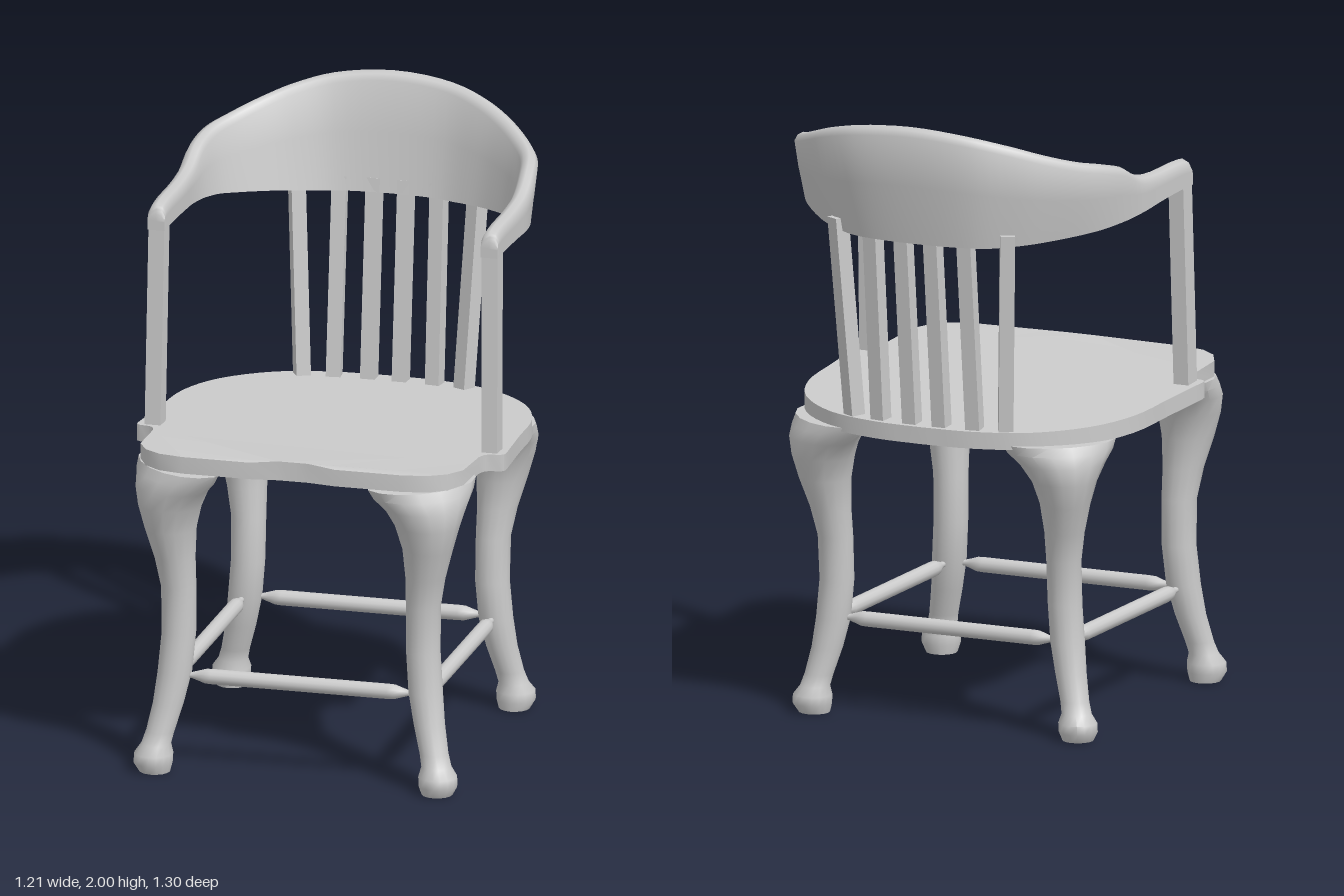
import * as THREE from 'three';
import { toCreasedNormals } from 'three/addons/utils/BufferGeometryUtils.js';

const material = new THREE.MeshStandardMaterial({ color: 0xcccccc });

function add(parent, name, geometry) {
  const mesh = new THREE.Mesh(geometry, material);
  mesh.name = name;
  parent.add(mesh);
  return mesh;
}

// Skin over closed rings of [x, y, z] points, capped at both ends
function loft(rings, crease) {
  const n = rings[0].length, last = rings.length - 1;
  const positions = rings.flat(2), index = [];
  for (let i = 0; i < last; i++) {
    for (let j = 0; j < n; j++) {
      const k = (j + 1) % n, a = i * n, b = a + n;
      index.push(a + j, a + k, b + k, a + j, b + k, b + j);
    }
  }
  for (const [r, end] of [[0, false], [last, true]]) {
    const centre = positions.length / 3;
    for (let c = 0; c < 3; c++) positions.push(rings[r].reduce((s, p) => s + p[c], 0) / n);
    for (let j = 0; j < n; j++) {
      const a = r * n + j, b = r * n + (j + 1) % n;
      index.push(centre, end ? a : b, end ? b : a);
    }
  }
  const g = new THREE.BufferGeometry();
  g.setAttribute('position', new THREE.Float32BufferAttribute(positions, 3));
  g.setIndex(index);
  return toCreasedNormals(g, crease);
}

// Upright bar leaning from one point to another, turned about y
function bar(from, to, width, depth, turn) {
  const g = new THREE.BoxGeometry(width, 1, depth).rotateY(turn);
  const p = g.attributes.position;
  for (let i = 0; i < p.count; i++) {
    const t = p.getY(i) + 0.5;
    p.setXYZ(i, p.getX(i) + THREE.MathUtils.lerp(from[0], to[0], t),
      THREE.MathUtils.lerp(from[1], to[1], t),
      p.getZ(i) + THREE.MathUtils.lerp(from[2], to[2], t));
  }
  g.computeVertexNormals();
  return g;
}

// Seat board: outline with eared sides, tipped slightly to the back
function seatGeometry() {
  const back = new THREE.CatmullRomCurve3([[0.605, 0.26], [0.59, 0.05], [0.573, -0.17], [0.5, -0.34],
    [0.35, -0.475], [0.17, -0.53], [0, -0.54]].map(([x, z]) => new THREE.Vector3(x, 0, z)));
  const half = [[0, 0.607], [0.05, 0.607], [0.14, 0.622], [0.36, 0.622], [0.44, 0.605], [0.495, 0.565],
    [0.53, 0.5], [0.535, 0.33], [0.545, 0.3], [0.56, 0.29], [0.59, 0.285], [0.602, 0.277],
    ...back.getPoints(24).map(v => [v.x, v.z])];
  const mirrored = half.slice(1, -1).reverse().map(([x, z]) => [-x, z]);
  const shape = new THREE.Shape([...half, ...mirrored].map(([x, z]) => new THREE.Vector2(x, -z)));
  const g = new THREE.ExtrudeGeometry(shape, { depth: 0.055, bevelEnabled: false }).rotateX(-Math.PI / 2);
  const p = g.attributes.position;
  for (let i = 0; i < p.count; i++) {
    const x = p.getX(i), z = p.getZ(i), top = p.getY(i) > 0.03;
    const lift = top && z > 0.6 && Math.abs(x) < 0.1 ? 0.008 : 0;
    p.setY(i, p.getY(i) + 0.98 + 0.05 * z + lift);
  }
  return toCreasedNormals(g, 0.5);
}

// Cabriole leg: height, diagonal offset, then reach outward, inward and sideways
const legRows = [
  [0, 0.09, 0.05, 0.05, 0.05], [0.03, 0.095, 0.064, 0.062, 0.062], [0.06, 0.093, 0.064, 0.062, 0.062],
  [0.09, 0.085, 0.048, 0.048, 0.048], [0.13, 0.07, 0.046, 0.046, 0.046], [0.22, 0.04, 0.05, 0.05, 0.05],
  [0.32, 0.017, 0.055, 0.056, 0.055], [0.45, 0.002, 0.055, 0.056, 0.055], [0.6, 0.002, 0.057, 0.056, 0.056],
  [0.7, 0.016, 0.066, 0.066, 0.064], [0.8, 0.028, 0.088, 0.08, 0.08], [0.88, 0.022, 0.115, 0.085, 0.105],
  [0.94, 0.01, 0.13, 0.085, 0.14], [0.98, -0.01, 0.135, 0.07, 0.175], [1.01, -0.02, 0.13, 0.06, 0.19],
];
function legGeometry(side, front) {
  const rings = legRows.map(([y, o, out, inn, wide]) => {
    const ring = [];
    for (let j = 0; j < 16; j++) {
      const a = (j / 16) * Math.PI * 2 * side * (front ? 1 : -1);
      const d = o + Math.cos(a) * (Math.cos(a) > 0 ? out : inn), s = Math.sin(a) * wide;
      const x = 0.4 + (d + s) * Math.SQRT1_2, z = 0.508 + (d - s) * Math.SQRT1_2;
      ring.push(front ? [side * x, y, z] : [side * x, y * 0.957, 0.215 - 0.06 * y - z]);
    }
    return ring;
  });
  return loft(rings, 0.75);
}

// Arms and back rest in one sweep; the path is the outer top edge
function railGeometry() {
  const half = [[0.575, 1.745, 0.252], [0.575, 1.77, 0.242], [0.575, 1.78, 0.2], [0.575, 1.782, 0],
    [0.575, 1.797, -0.12], [0.571, 1.842, -0.22], [0.55, 1.868, -0.32], [0.5, 1.888, -0.41],
    [0.42, 1.92, -0.5], [0.33, 1.952, -0.565], [0.2, 1.983, -0.622], [0, 2, -0.642]];
  const points = [...half, ...half.slice(0, -1).reverse().map(([x, y, z]) => [-x, y, z])];
  const curve = new THREE.CatmullRomCurve3(points.map(p => new THREE.Vector3(...p)));
  const rings = [], steps = 88, T = 0.056;
  for (let i = 0; i <= steps; i++) {
    const p = curve.getPoint(i / steps), t = curve.getTangent(i / steps).setY(0).normalize();
    const tilt = 0.05 * THREE.MathUtils.smoothstep(-p.z, 0.05, 0.5);
    const f = THREE.MathUtils.clamp((p.z + 0.6) / 0.8, 0, 1);
    const low = 1.615 + 0.075 * (1 - (1 - f) ** 1.6), mid = (low + p.y) / 2;
    const r = Math.min(0.028, (p.y - low) * 0.4);
    const section = [[-T - tilt, low], [-T - tilt * 0.45, mid], [-T, p.y - r], [-0.82 * T, p.y - r * 0.3],
      [-0.5 * T, p.y], [-0.18 * T, p.y - r * 0.3], [0, p.y - r], [-tilt * 0.35, mid], [-tilt, low]];
    rings.push(section.map(([o, y]) => [p.x - t.z * o, y, p.z + t.x * o]));
  }
  return loft(rings, 0.9);
}

// Turned stretcher with thin ends, lying along x
function stretcherGeometry() {
  const half = [[0.01, 0.41], [0.01, 0.355], [0.016, 0.335], [0.024, 0.31], [0.025, 0.29]];
  const profile = [...half.map(([r, h]) => [r, -h]), ...half.slice().reverse()];
  return new THREE.LatheGeometry(profile.map(p => new THREE.Vector2(...p)), 12).rotateZ(Math.PI / 2);
}

export function createModel() {
  const chair = new THREE.Group();
  chair.name = 'armchair';
  add(chair, 'seat', seatGeometry());
  add(chair, 'armsAndBackRest', railGeometry());

  for (const side of [1, -1]) {
    const word = side > 0 ? 'left' : 'right';
    add(chair, word + 'FrontLeg', legGeometry(side, true));
    add(chair, word + 'BackLeg', legGeometry(side, false));
    add(chair, word + 'ArmPost', bar([side * 0.553, 1.02, 0.242], [side * 0.547, 1.72, 0.214], 0.052, 0.064, 0));

    // Back slats, fanned outward: foot, head, turn
    const slats = [[0.052, -0.495, 0.052, -0.565, 0], [0.165, -0.488, 0.163, -0.555, -0.12],
      [0.265, -0.472, 0.298, -0.527, -0.5]];
    slats.forEach(([x0, z0, x1, z1, turn], i) => add(chair, word + 'Slat' + (i + 1),
      bar([side * x0, 0.99, z0], [side * x1, 1.66, z1], 0.047, 0.05, side * turn)));

    const sideStretcher = add(chair, word + 'Stretcher', stretcherGeometry());
    sideStretcher.rotation.y = Math.PI / 2;
    sideStretcher.position.set(side * 0.41, 0.31, 0.1);
  }
  add(chair, 'frontStretcher', stretcherGeometry()).position.set(0, 0.31, 0.52);
  add(chair, 'backStretcher', stretcherGeometry()).position.set(0, 0.31, -0.325);
  return chair;
}
